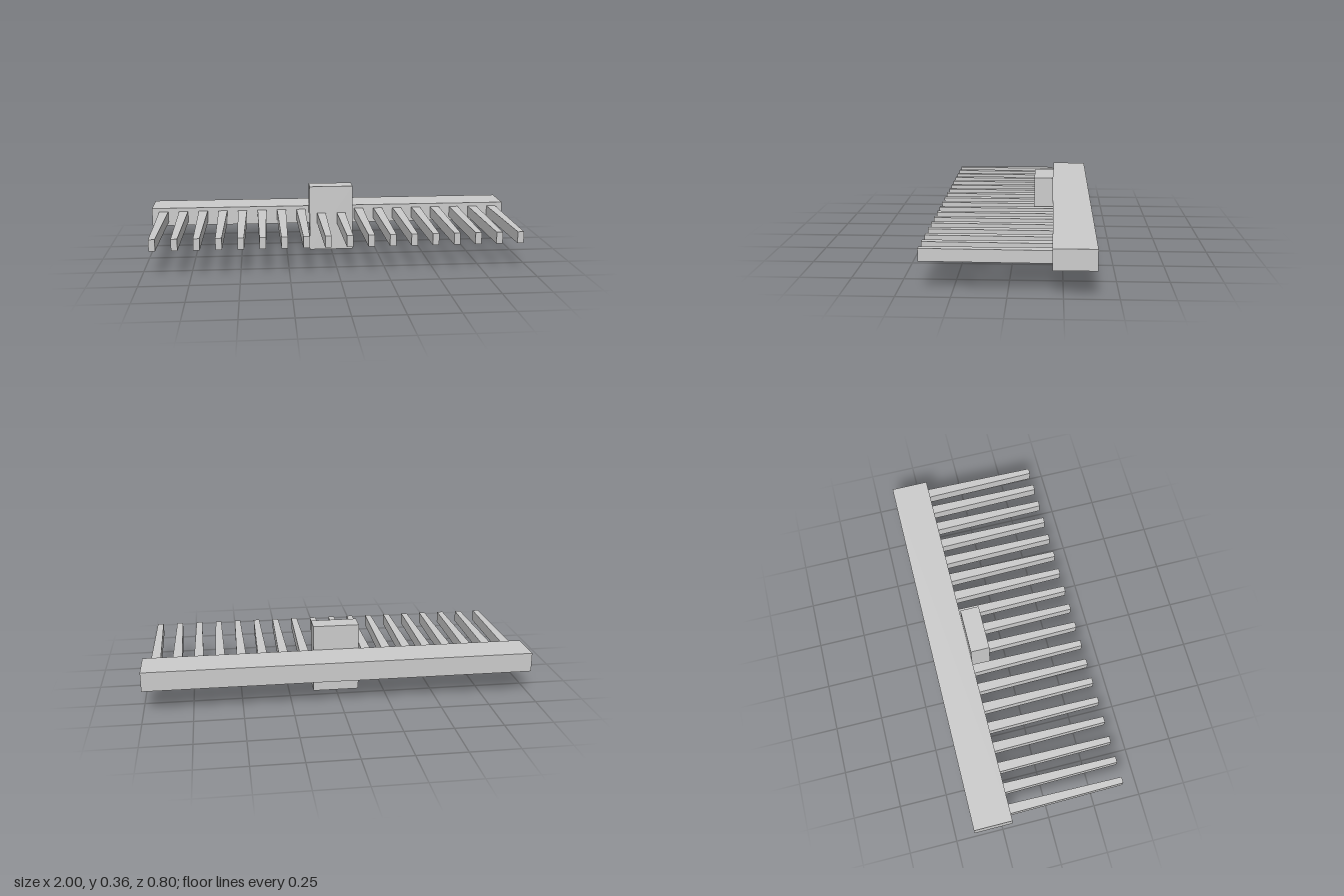
import * as THREE from 'three';

const material = new THREE.MeshStandardMaterial({ color: 0xcccccc, flatShading: true });

// Box given by its min and max corners
function box(name, [x0, y0, z0], [x1, y1, z1]) {
  const geometry = new THREE.BoxGeometry(x1 - x0, y1 - y0, z1 - z0);
  geometry.translate((x0 + x1) / 2, (y0 + y1) / 2, (z0 + z1) / 2);
  const mesh = new THREE.Mesh(geometry, material);
  mesh.name = name;
  return mesh;
}

// Tooth narrowing in width towards its front tip
function toothGeometry(baseWidth, tipWidth, height, length) {
  const geometry = new THREE.BoxGeometry(baseWidth, height, length);
  geometry.translate(0, 0, length / 2);
  const p = geometry.attributes.position;
  for (let i = 0; i < p.count; i++) {
    if (p.getZ(i) > length / 2) p.setX(i, p.getX(i) * tipWidth / baseWidth);
  }
  geometry.computeVertexNormals();
  return geometry;
}

export function createModel() {
  const model = new THREE.Group();
  model.name = 'rake';

  // Head bar along the back and the central mounting block
  model.add(box('headBar', [-1, 0.13, -0.4], [1, 0.23, -0.2]));
  model.add(box('mountingBlock', [-0.12, 0, -0.2], [0.12, 0.36, -0.1]));

  // Row of evenly spaced tapered teeth
  const teeth = new THREE.Group();
  teeth.name = 'teeth';
  const geometry = toothGeometry(0.05, 0.032, 0.06, 0.6);
  const count = 18, spacing = 0.11;
  for (let i = 0; i < count; i++) {
    const tooth = new THREE.Mesh(geometry, material);
    tooth.name = `tooth${i + 1}`;
    tooth.position.set((i - (count - 1) / 2) * spacing, 0.18, -0.2);
    teeth.add(tooth);
  }
  model.add(teeth);
  return model;
}
